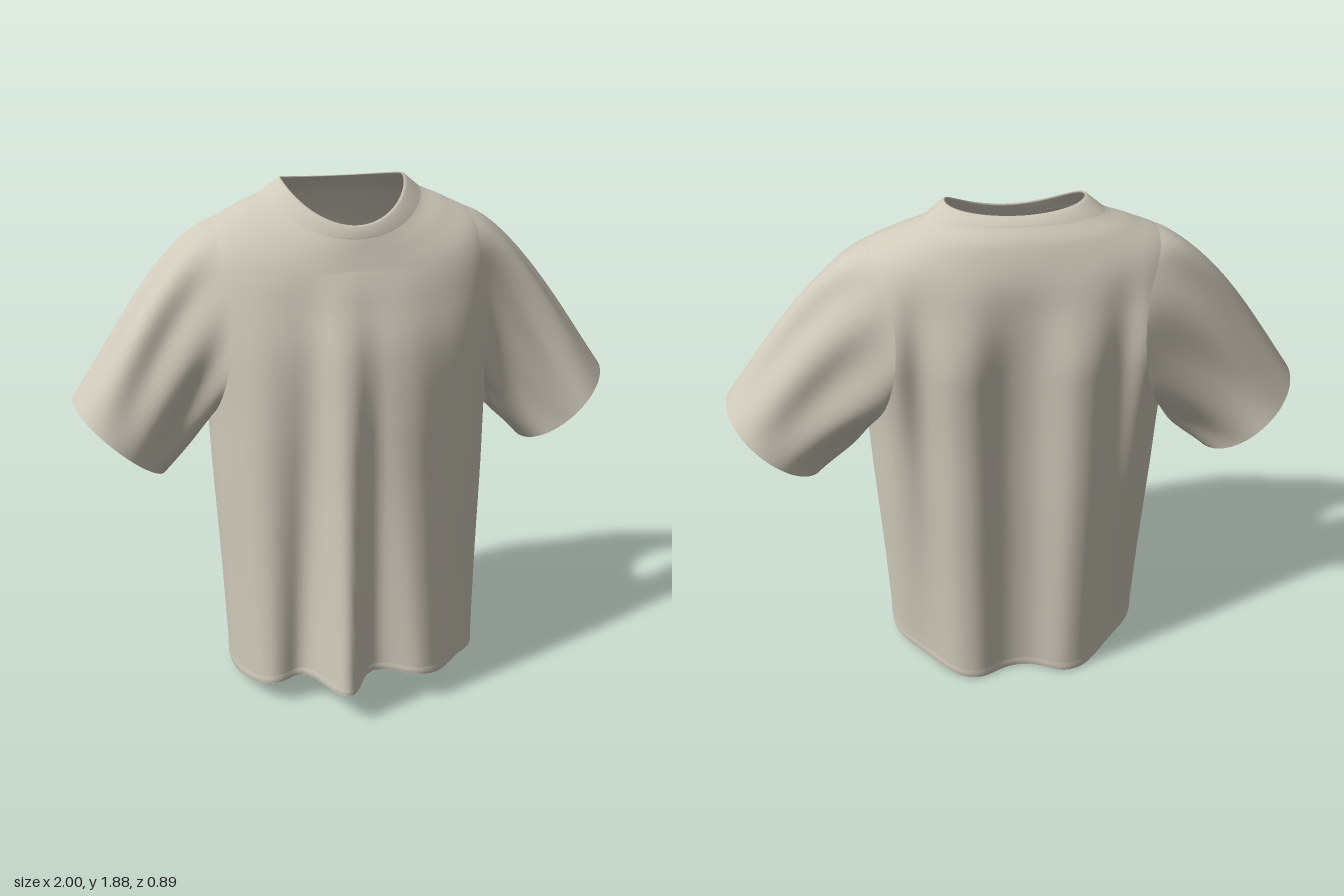
import * as THREE from 'three';

// Torso rows from hem to neck: side y, front y, back y, half width, side z, front z, back z, squareness
const ROWS = [
  [0.03, 0.12, 0.00, 0.485, -0.06, 0.30, -0.39, 2.45],
  [0.40, 0.43, 0.40, 0.495, -0.08, 0.285, -0.39, 2.45],
  [0.80, 0.80, 0.80, 0.51, -0.10, 0.265, -0.39, 2.5],
  [1.10, 1.10, 1.10, 0.52, -0.12, 0.25, -0.385, 2.5],
  [1.35, 1.33, 1.35, 0.54, -0.14, 0.22, -0.385, 2.5],
  [1.58, 1.49, 1.55, 0.545, -0.15, 0.17, -0.385, 2.45],
  [1.715, 1.58, 1.68, 0.505, -0.16, 0.138, -0.378, 2.35],
  [1.785, 1.65, 1.785, 0.385, -0.17, 0.11, -0.343, 2.2],
  [1.828, 1.70, 1.835, 0.288, -0.18, 0.09, -0.303, 2.05],
  [1.877, 1.745, 1.86, 0.224, -0.17, 0.068, -0.272, 2],
];
// Drape folds: x at hem, x at chest, width, depth at hem, depth at chest
const FRONT_FOLDS = [
  [-0.125, -0.07, 0.075, 0.15, 0.15], [0.20, 0.10, 0.12, 0.085, 0.085],
  [-0.40, -0.36, 0.08, 0.045, 0.045], [-0.26, -0.2, 0.05, -0.02, -0.02],
];
const BACK_FOLDS = [
  [-0.20, -0.20, 0.115, 0.066, 0.066], [0.20, 0.20, 0.115, 0.066, 0.066],
  [-0.41, -0.43, 0.08, -0.015, 0.075], [0.41, 0.43, 0.08, -0.015, 0.075],
];
// Armhole ellipse on the torso surface
const ARMHOLE = { v: 4.62, rv: 1.77, front: 0.68, back: 0.82 };
const TOP = ROWS.length - 1;
const clamp01 = (t) => Math.min(1, Math.max(0, t));
const lerp = THREE.MathUtils.lerp;
const spow = (c, p) => Math.sign(c) * Math.abs(c) ** p;

// Smooth interpolation between torso rows
function rowAt(v) {
  const i = Math.min(TOP - 1, Math.max(0, Math.floor(v)));
  const t = v - i;
  const [a, b, c, d] = [-1, 0, 1, 2].map((k) => ROWS[Math.min(TOP, Math.max(0, i + k))]);
  return b.map((p, k) => {
    const m0 = (c[k] - a[k]) / 2, m1 = (d[k] - p) / 2, e = c[k] - p;
    return p + t * (m0 + t * (3 * e - 2 * m0 - m1 + t * (m0 + m1 - 2 * e)));
  });
}

// Torso surface: u runs around from the left side to the front, v from hem to neck
function torso(u, v, offset = 0) {
  const [ys, yf, yb, w, zc, zf, zb, n] = rowAt(v);
  const c = Math.cos(u), s = Math.sin(u), front = s > 0;
  const x = w * spow(c, 2 / n);
  const edge = Math.abs(s) ** (2 / n);
  const y = lerp(ys, front ? yf : yb, Math.abs(s) ** 1.5);
  let z = lerp(zc, front ? zf : zb, edge);
  const drop = clamp01((1.6 - y) / 1.5);
  const ramp = front ? drop ** 0.85 : THREE.MathUtils.smoothstep(1.76 - y, 0, 0.4);
  for (const [x0, x1, width, low, high] of front ? FRONT_FOLDS : BACK_FOLDS) {
    const d = Math.abs(x - lerp(x1, x0, drop)) / width;
    z += (front ? 1 : -1) * lerp(high, low, drop) * ramp * Math.exp(-(d ** 2.4)) * Math.min(1, edge * 1.5);
  }
  return new THREE.Vector3(x + c * offset, y, z + s * offset);
}

// Position in the armhole ellipse: u distance from the side, v distance, radius (1 on the rim)
function armholeAt(u, v) {
  const du = Math.asin(Math.sin(u));
  const a = du / (du > 0 ? ARMHOLE.front : ARMHOLE.back), b = (v - ARMHOLE.v) / ARMHOLE.rv;
  return { a, b, r: Math.hypot(a, b) };
}

// Point on the armhole rim at angle with cosine c and sine s
function armholeRim(side, c, s) {
  const u = c * (c > 0 ? ARMHOLE.front : ARMHOLE.back);
  return torso(side > 0 ? u : Math.PI - u, ARMHOLE.v + ARMHOLE.rv * s);
}

// Torso with the points inside each armhole drawn out to its rim
function openTorso(u, v) {
  const { a, b, r } = armholeAt(u, v);
  return r < 1 && r > 0 ? armholeRim(Math.cos(u), a / r, b / r) : torso(u, v);
}

// Sleeve surface: a runs around the arm, t from armhole to cuff
function sleeve(side, a, t, shrink = 1) {
  const c = Math.cos(a), s = Math.sin(a), up = (s + 1) / 2;
  const p0 = armholeRim(side, c, s);
  p0.x *= side;
  const p3 = new THREE.Vector3(0.155 * s, 0.143 * s, 0.213 * spow(c, 0.95))
    .multiplyScalar(shrink).add(new THREE.Vector3(0.843, 0.997, -0.105));
  const p1 = p0.clone().add(new THREE.Vector3(lerp(0.04, 0.17, up), lerp(-0.08, -0.05, up), (c > 0 ? -0.08 : -0.03) * c));
  const p2 = p3.clone().add(new THREE.Vector3(lerp(-0.08, -0.18, up), lerp(0.08, 0.25, up), (c > 0 ? -0.06 : -0.04) * c));
  const p = new THREE.CubicBezierCurve3(p0, p1, p2, p3).getPoint(t);
  // soft creases along the arm
  const crease = 0.013 * Math.sin(Math.PI * t) * Math.sin(7 * a + 1 + 2 * t);
  p.z += crease * c;
  p.x += crease * s * 0.4;
  p.y += crease * s * 0.4;
  p.x *= side;
  return p;
}

// Closed-loop surface from a point function; quads wholly inside hole(u, t) are left out
function loft(name, material, around, along, point, flip = false, hole = () => false) {
  const pos = [], open = [], index = [];
  for (let j = 0; j <= along; j++)
    for (let i = 0; i < around; i++) {
      const u = (i / around) * Math.PI * 2, t = j / along;
      pos.push(...point(u, t).toArray());
      open.push(hole(u, t));
    }
  for (let j = 0; j < along; j++)
    for (let i = 0; i < around; i++) {
      const a = j * around + i, b = j * around + ((i + 1) % around), c = a + around, d = b + around;
      if (open[a] && open[b] && open[c] && open[d]) continue;
      if (flip) index.push(a, b, c, b, d, c);
      else index.push(a, c, b, b, c, d);
    }
  const g = new THREE.BufferGeometry();
  g.setAttribute('position', new THREE.Float32BufferAttribute(pos, 3));
  g.setIndex(index);
  g.computeVertexNormals();
  const mesh = new THREE.Mesh(g, material);
  mesh.name = name;
  return mesh;
}

// Ring that follows the torso along a profile of [v, offset] points
function band(name, material, profile) {
  return loft(name, material, 160, profile.length - 1, (u, t) => {
    const [v, offset] = profile[Math.round(t * (profile.length - 1))];
    return torso(u, v, offset);
  });
}

export function createModel() {
  const group = new THREE.Group();
  group.name = 'shirt';
  const cloth = new THREE.MeshStandardMaterial({ color: 0xd0cabb, side: THREE.DoubleSide });
  cloth.name = 'cream cloth';

  // Torso with an open armhole on each side
  group.add(loft('torso', cloth, 240, 108, (u, t) => openTorso(u, t * TOP), false,
    (u, t) => armholeAt(u, t * TOP).r < 1));

  // Neck band and turned hem
  group.add(band('collar', cloth, [[8, -0.001], [8.15, 0.002], [8.5, 0.004], [8.85, 0.003], [9, 0], [9, -0.005], [8.8, -0.01], [8.1, -0.01]]));
  group.add(band('hem', cloth, [[0.15, 0], [0.1, 0.002], [0.03, 0.002], [0, -0.002], [0.03, -0.008], [0.15, -0.01]]));

  // Sleeves with turned cuffs
  for (const side of [1, -1]) {
    const label = side > 0 ? 'left' : 'right';
    group.add(loft(label + 'Sleeve', cloth, 112, 40, (a, t) => sleeve(side, a, t), side < 0));
    group.add(loft(label + 'CuffFold', cloth, 112, 4, (a, t) => sleeve(side, a, 1 - 0.1 * t, 1 - 0.04 * Math.min(1, t * 4)), side > 0));
  }
  return group;
}
